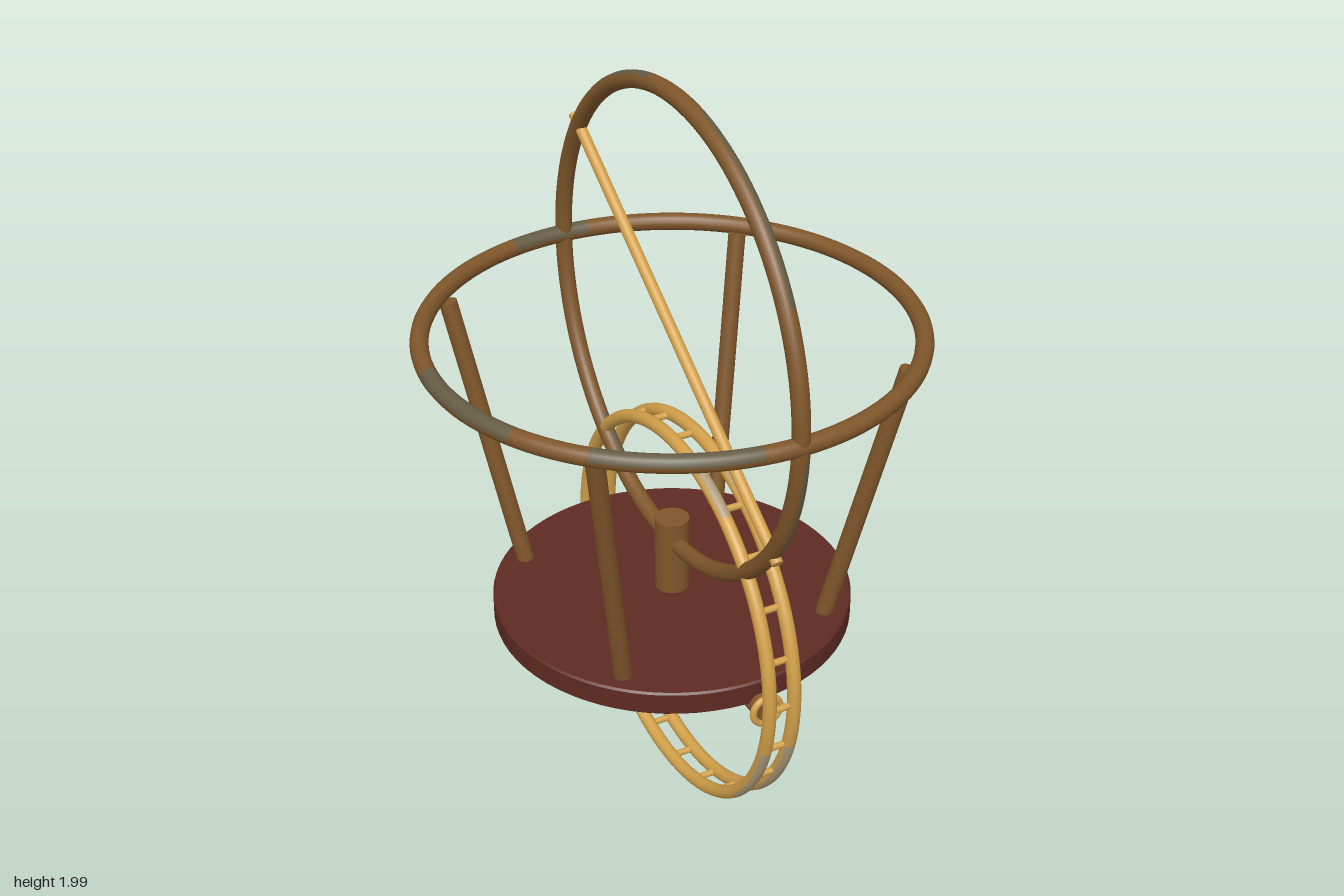
import * as THREE from 'three';

const mat = (name, color) => {
  const m = new THREE.MeshStandardMaterial({ color });
  m.name = name;
  return m;
};

// Torus whose faces inside a patch [start, end, tubeCentre, tubeHalfWidth] (degrees) use material 1
function patchedTorus(radius, tube, patches) {
  const around = 16;
  const along = 120;
  const geometry = new THREE.TorusGeometry(radius, tube, around, along);
  for (let j = 0; j < around; j++) {
    const phi = ((j + 0.5) / around) * 360;
    let start = 0;
    let current = -1;
    for (let i = 0; i <= along; i++) {
      const theta = ((i + 0.5) / along) * 360;
      const inside = patches.some(([from, to, centre, half]) => {
        const offset = Math.abs(((phi - centre + 540) % 360) - 180);
        return theta > from && theta < to && offset <= half;
      });
      const index = i === along ? -1 : Number(inside);
      if (index === current) continue;
      if (current >= 0) geometry.addGroup((j * along + start) * 6, (i - start) * 6, current);
      start = i;
      current = index;
    }
  }
  return geometry;
}

export function createModel() {
  const bronze = mat('bronze', 0x7f562a);
  const brass = mat('brass', 0xd2a04a);
  const wood = mat('dark red wood', 0x5e2a22);
  const bronzePatina = mat('grey bronze patina', 0x655c44);
  const brassPatina = mat('pale brass patina', 0xaf9c7c);
  const model = new THREE.Group();
  model.name = 'armillaryInstrument';

  const add = (name, geometry, material, parent = model) => {
    const mesh = new THREE.Mesh(geometry, material);
    mesh.name = name;
    parent.add(mesh);
    return mesh;
  };

  // Round bar between two points
  const up = new THREE.Vector3(0, 1, 0);
  const bar = (name, from, to, radius, material, parent = model) => {
    const a = new THREE.Vector3(...from);
    const b = new THREE.Vector3(...to);
    const dir = b.clone().sub(a);
    const mesh = add(name, new THREE.CylinderGeometry(radius, radius, dir.length(), 20), material, parent);
    mesh.position.copy(a).add(b).multiplyScalar(0.5);
    mesh.quaternion.setFromUnitVectors(up, dir.normalize());
    return mesh;
  };

  // Base disc with a slightly eased rim, and central post
  const discProfile = [[0, 0.543], [0.464, 0.543], [0.464, 0.543], [0.469, 0.548], [0.469, 0.548],
    [0.469, 0.603], [0.469, 0.603], [0.464, 0.608], [0.464, 0.608], [0, 0.608]];
  add('baseDisc', new THREE.LatheGeometry(discProfile.map(([x, y]) => new THREE.Vector2(x, y)), 72), wood);
  bar('centralPost', [0, 0.6, 0], [0, 0.817, 0], 0.045, bronze);

  // Four splayed legs carrying the horizon ring
  for (const sx of [-1, 1]) {
    for (const sz of [-1, 1]) {
      bar('supportLeg', [sx * 0.29, 0.605, sz * 0.29], [sx * 0.417, 1.352, sz * 0.417], 0.023, bronze);
    }
  }

  // Horizon and meridian rings share one centre
  const ringY = 1.363;
  const horizonPatches = [[99, 135, 270, 100], [153, 186, 270, 100], [255, 276, 270, 100]];
  const horizon = add('horizonRing', patchedTorus(0.615, 0.023, horizonPatches), [bronze, bronzePatina]);
  horizon.position.y = ringY;
  horizon.rotation.x = Math.PI / 2;
  const meridianPatches = [[102, 150, 90, 100], [183, 216, 90, 100], [297, 312, 90, 100], [36, 81, 0, 50]];
  const meridian = add('meridianRing', patchedTorus(0.615, 0.022, meridianPatches), [bronze, bronzePatina]);
  meridian.position.y = ringY;
  meridian.rotation.y = Math.PI / 2;

  // Tilted polar rod
  bar('polarRod', [0, ringY - 0.37, 0.53], [0, ringY + 0.37, -0.53], 0.015, brass);

  // Ladder wheel: two brass hoops joined by rungs
  const wheel = new THREE.Group();
  wheel.name = 'ladderWheel';
  wheel.position.y = 0.54;
  model.add(wheel);
  const wheelRadius = 0.514;
  const spacing = 0.07;
  const hoopGeometry = patchedTorus(wheelRadius, 0.018,
    [[327, 345, 45, 80], [196, 226, 0, 60], [105, 123, 0, 50]]);
  for (const x of [0, spacing]) {
    const hoop = add('wheelHoop', hoopGeometry, [brass, brassPatina], wheel);
    hoop.position.x = x;
    hoop.rotation.y = Math.PI / 2;
  }
  for (let i = 0; i < 24; i++) {
    const a = (i / 24) * Math.PI * 2;
    const y = Math.cos(a) * wheelRadius;
    const z = Math.sin(a) * wheelRadius;
    bar('wheelRung', [0, y, z], [spacing, y, z], 0.009, brass, wheel);
  }

  // Axle under the disc, with collars and a cross pin
  const axleY = 0.537;
  bar('axle', [0, axleY, -0.5], [0, axleY, 0.5], 0.032, bronze);
  for (const z of [-0.5, 0.5]) {
    add('axleCollar', new THREE.TorusGeometry(0.038, 0.009, 12, 32), brass).position.set(0, axleY, z);
  }
  bar('crossPin', [-0.085, axleY, 0], [0.085, axleY, 0], 0.01, brass);

  return model;
}
